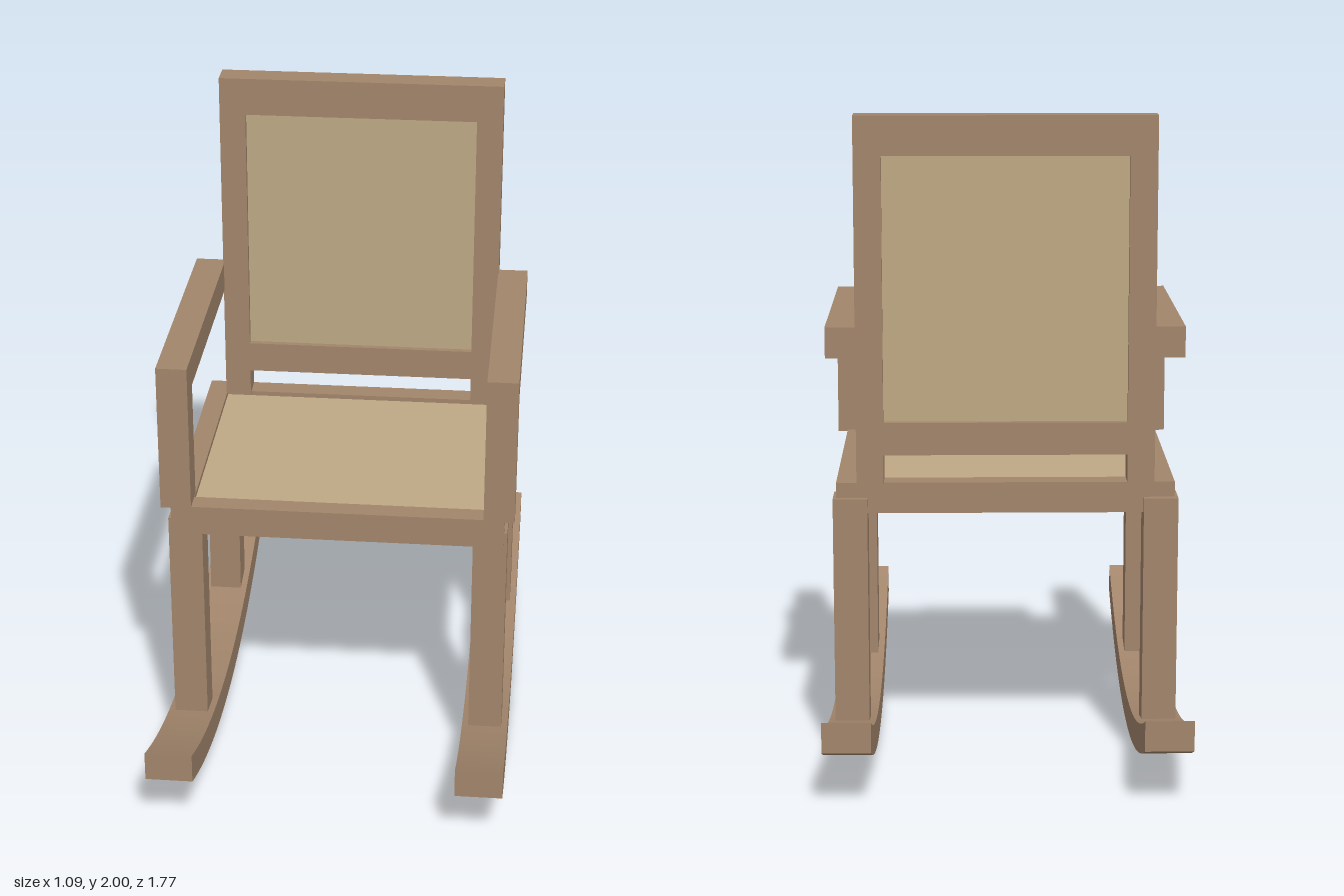
import * as THREE from 'three';

export function createModel() {
  const chair = new THREE.Group();
  chair.name = 'rockingChair';

  const wood = new THREE.MeshStandardMaterial({ color: 0xa3866c });
  wood.name = 'wood';
  const fabric = new THREE.MeshStandardMaterial({ color: 0xbfa985 });
  fabric.name = 'fabric';

  // Box given by its extents on each axis
  function box(name, [x0, x1], [y0, y1], [z0, z1], material = wood) {
    const mesh = new THREE.Mesh(new THREE.BoxGeometry(x1 - x0, y1 - y0, z1 - z0), material);
    mesh.position.set((x0 + x1) / 2, (y0 + y1) / 2, (z0 + z1) / 2);
    mesh.name = name;
    chair.add(mesh);
    return mesh;
  }

  function rectangle(target, x0, x1, y0, y1) {
    target.moveTo(x0, y0);
    target.lineTo(x1, y0);
    target.lineTo(x1, y1);
    target.lineTo(x0, y1);
    target.closePath();
    return target;
  }

  // Seat frame: a rectangular ring laid flat
  const seatShape = rectangle(new THREE.Shape(), -0.515, 0.515, -0.44, 0.45);
  seatShape.holes.push(rectangle(new THREE.Path(), -0.45, 0.45, -0.375, 0.38));
  const seatGeometry = new THREE.ExtrudeGeometry(seatShape, { depth: 0.095, bevelEnabled: false });
  seatGeometry.rotateX(-Math.PI / 2);
  const seatFrame = new THREE.Mesh(seatGeometry, wood);
  seatFrame.name = 'seatFrame';
  seatFrame.position.y = 0.795;
  chair.add(seatFrame);
  box('seatPanel', [-0.452, 0.452], [0.845, 0.875], [-0.382, 0.377], fabric);

  // Backrest: upright frame whose posts reach down to the seat
  const backShape = new THREE.Shape();
  const outline = [[-0.453, 0.885], [-0.37, 0.885], [-0.37, 0.975], [0.37, 0.975],
    [0.37, 0.885], [0.453, 0.885], [0.453, 2], [-0.453, 2]];
  backShape.setFromPoints(outline.map(([x, y]) => new THREE.Vector2(x, y)));
  backShape.holes.push(rectangle(new THREE.Path(), -0.37, 0.37, 1.075, 1.88));
  const backFrame = new THREE.Mesh(
    new THREE.ExtrudeGeometry(backShape, { depth: 0.085, bevelEnabled: false }), wood);
  backFrame.name = 'backFrame';
  backFrame.position.z = -0.451;
  chair.add(backFrame);
  box('backPanel', [-0.372, 0.372], [1.073, 1.882], [-0.43, -0.385], fabric);

  // Rocker profile: a shallow arc of constant height with upright ends
  const half = 0.885;
  const radius = 2.265;
  const steps = 32;
  const lower = [];
  for (let i = 0; i <= steps; i++) {
    const z = -half + (2 * half * i) / steps;
    lower.push(new THREE.Vector2(z, radius - Math.sqrt(radius * radius - z * z)));
  }
  const upper = lower.map((p) => new THREE.Vector2(p.x, p.y + 0.093)).reverse();
  const rockerGeometry = new THREE.ExtrudeGeometry(
    new THREE.Shape([...lower, ...upper]), { depth: 0.145, bevelEnabled: false });
  rockerGeometry.translate(0, 0, -0.0725);
  rockerGeometry.rotateY(-Math.PI / 2);

  // Parts repeated on both sides
  for (const [side, s] of [['left', 1], ['right', -1]]) {
    const span = (a, b) => (s > 0 ? [a, b] : [-b, -a]);

    const rocker = new THREE.Mesh(rockerGeometry, wood);
    rocker.name = side + 'Rocker';
    rocker.position.x = s * 0.4725;
    chair.add(rocker);

    box(side + 'FrontLeg', span(0.42, 0.525), [0.07, 0.843], [0.33, 0.434]);
    box(side + 'BackLeg', span(0.42, 0.525), [0.07, 0.843], [-0.472, -0.367]);
    box(side + 'ArmPost', span(0.451, 0.546), [0.885, 1.265], [0.35, 0.443]);
    box(side + 'Armrest', span(0.451, 0.546), [1.265, 1.36], [-0.402, 0.443]);
  }

  return chair;
}
